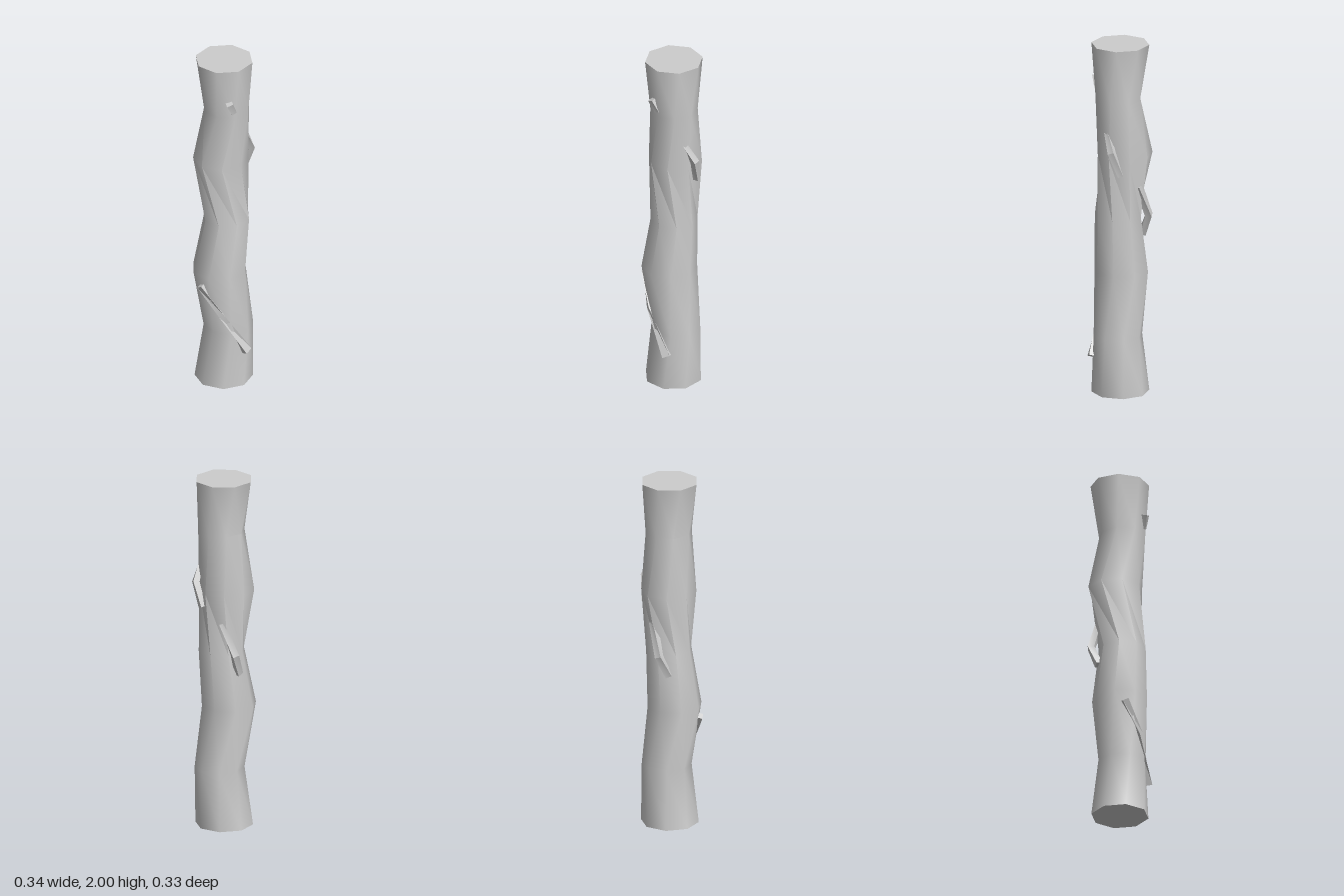
import * as THREE from 'three';
import { toCreasedNormals } from 'three/addons/utils/BufferGeometryUtils.js';

// Skin a list of equal-sized vertex rings and close both ends
function loft(rings, crease) {
  const pos = [];
  const tri = (...pts) => pts.forEach((p) => pos.push(p.x, p.y, p.z));
  const n = rings[0].length;
  for (let k = 0; k < rings.length - 1; k++) {
    for (let i = 0; i < n; i++) {
      const j = (i + 1) % n;
      const [a, b, c, d] = [rings[k][i], rings[k + 1][i], rings[k + 1][j], rings[k][j]];
      tri(a, b, c);
      tri(a, c, d);
    }
  }
  const first = rings[0], last = rings[rings.length - 1];
  for (let i = 1; i < n - 1; i++) {
    tri(first[0], first[i], first[i + 1]);
    tri(last[0], last[i + 1], last[i]);
  }
  const geo = new THREE.BufferGeometry();
  geo.setAttribute('position', new THREE.Float32BufferAttribute(pos, 3));
  return toCreasedNormals(geo, crease);
}

// Crooked eight-sided trunk: y, centre x, centre z, radius, twist in degrees
function trunkGeometry() {
  const sections = [
    [0, 0.003, 0.002, 0.16, 41],
    [0.33, 0.028, -0.003, 0.137, 33],
    [0.69, -0.02, 0.017, 0.153, 18],
    [1.01, 0.02, 0.005, 0.13, 15],
    [1.37, -0.015, -0.017, 0.152, 38],
    [1.7, 0.02, 0.005, 0.13, 20],
    [2, 0.005, 0, 0.161, 10.4],
  ];
  return loft(sections.map(([y, cx, cz, r, twist]) =>
    Array.from({ length: 8 }, (_, i) => {
      const a = THREE.MathUtils.degToRad(twist + i * 45);
      return new THREE.Vector3(cx + r * Math.cos(a), y, cz + r * Math.sin(a));
    })), 0.87);
}

// Square splinter following a bent path against the trunk
function splinterGeometry(path, widths) {
  const pts = path.map((p) => new THREE.Vector3(...p));
  const rings = pts.map((p, k) => {
    const t = pts[Math.min(k + 1, pts.length - 1)].clone()
      .sub(pts[Math.max(k - 1, 0)]).normalize();
    const u = new THREE.Vector3(p.x, 0, p.z);
    u.addScaledVector(t, -u.dot(t)).normalize();
    const v = u.clone().cross(t);
    const h = widths[k] / 2;
    return [[1, -1], [1, 1], [-1, 1], [-1, -1]].map(([a, b]) =>
      p.clone().addScaledVector(u, a * h).addScaledVector(v, b * h));
  });
  return loft(rings, 0.5);
}

export function createModel() {
  const group = new THREE.Group();
  const bark = new THREE.MeshStandardMaterial({ color: 0xcccccc });
  bark.name = 'grey bark';

  const add = (name, geo) => {
    const mesh = new THREE.Mesh(geo, bark);
    mesh.name = name;
    group.add(mesh);
  };

  add('trunk', trunkGeometry());

  // Splinters, each from its lower to its upper end
  add('frontLongSplinter', splinterGeometry(
    [[0.135, 0.21, 0.09], [0, 0.46, 0.137], [-0.112, 0.63, 0.122]], [0.045, 0.03, 0.036]));
  add('frontStub', splinterGeometry(
    [[0.065, 1.73, 0.115], [0.045, 1.8, 0.143]], [0.03, 0.036]));
  add('leftSplinter', splinterGeometry(
    [[0.105, 1.28, -0.095], [0.147, 1.415, -0.068], [0.118, 1.55, 0]], [0.03, 0.035, 0.025]));
  add('backSplinter', splinterGeometry(
    [[-0.095, 0.9, -0.07], [-0.087, 1.02, -0.128], [-0.015, 1.2, -0.118]], [0.035, 0.036, 0.035]));
  return group;
}
